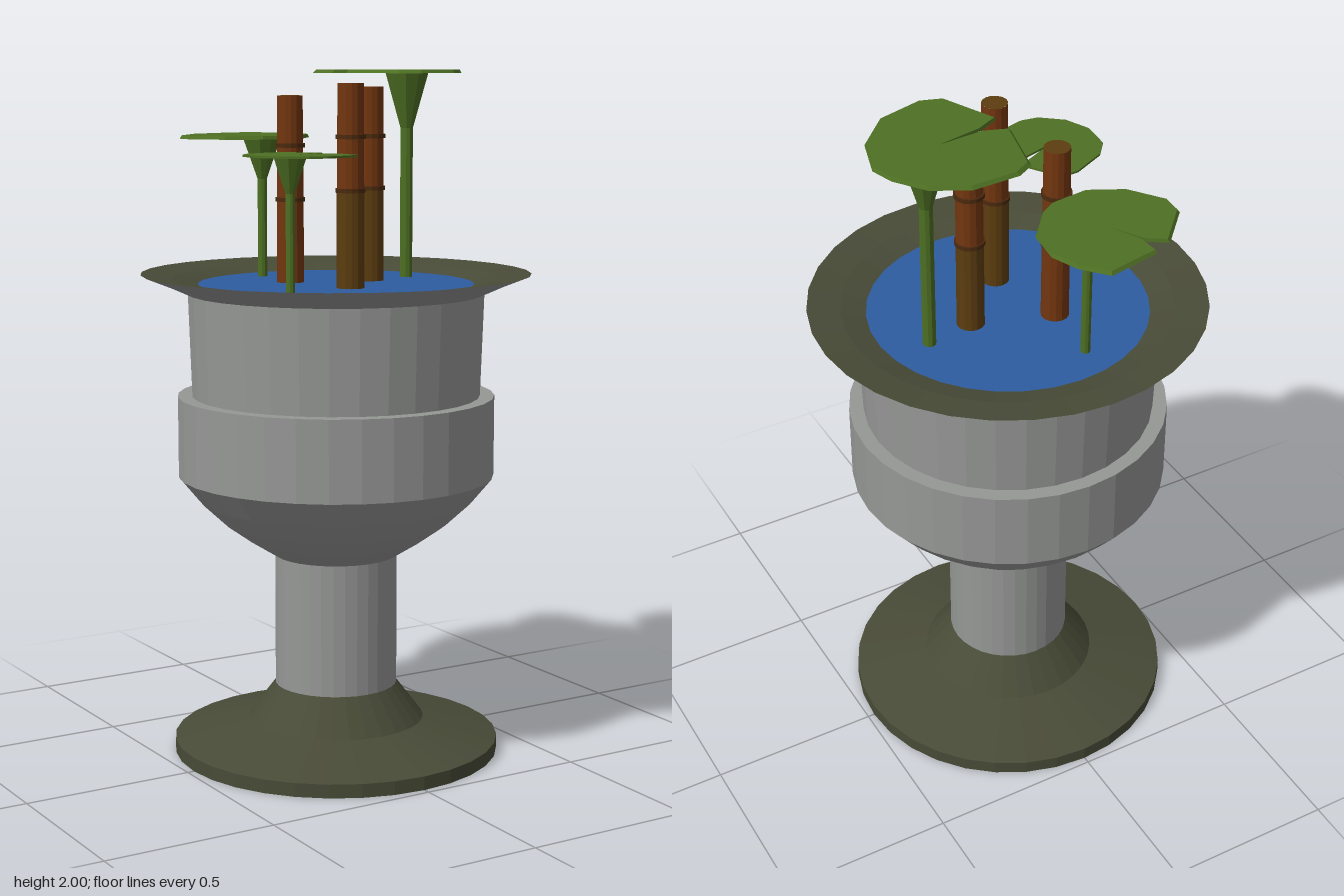
import * as THREE from 'three';

const mat = (name, color) => {
  const m = new THREE.MeshStandardMaterial({ color, flatShading: true });
  m.name = name;
  return m;
};

export function createModel() {
  const stone = mat('grey stone', 0x969896);
  const moss = mat('mossy stone', 0x484b37);
  const underside = mat('dark underside', 0x46343a);
  const water = mat('water blue', 0x2e5ca0);
  const leaf = mat('leaf green', 0x4e7023);
  const cane = mat('red brown cane', 0x723610);
  const oldCane = mat('olive brown cane', 0x5c3d10);
  const joint = mat('dark cane joint', 0x4c2a0e);

  const model = new THREE.Group();
  model.name = 'pondPlanter';
  const add = (parent, name, geometry, material, x = 0, y = 0, z = 0) => {
    const mesh = new THREE.Mesh(geometry, material);
    mesh.name = name;
    mesh.position.set(x, y, z);
    parent.add(mesh);
    return mesh;
  };
  const lathe = (name, profile, material) =>
    add(model, name, new THREE.LatheGeometry(profile.map(p => new THREE.Vector2(...p)), 32), material);

  // Pedestal and bowl
  lathe('foot', [[0.48, 0], [0.48, 0.04], [0.26, 0.095], [0.18, 0.2]], moss);
  add(model, 'footUnderside', new THREE.CircleGeometry(0.48, 32).rotateX(Math.PI / 2), underside);
  lathe('column', [[0.18, 0.2], [0.18, 0.59]], stone);
  lathe('bowl', [
    [0.18, 0.59], [0.26, 0.64], [0.33, 0.69], [0.40, 0.755], [0.462, 0.83],
    [0.462, 1.065], [0.42, 1.065], [0.43, 1.363], [0.49, 1.39], [0.565, 1.42],
  ], stone);
  lathe('rim', [[0.565, 1.42], [0.47, 1.408], [0.40, 1.39]], moss);
  add(model, 'waterSurface', new THREE.CircleGeometry(0.402, 32).rotateX(-Math.PI / 2), water, 0, 1.39, 0);

  // Jointed canes: position, top height, heights of the two joints
  const canes = [
    { x: -0.097, z: -0.095, top: 1.927, joints: [1.63, 1.785], lower: cane },
    { x: -0.036, z: 0.138, top: 1.963, joints: [1.665, 1.815], lower: oldCane },
    { x: 0.13, z: -0.02, top: 1.952, joints: [1.66, 1.81], lower: oldCane },
  ];
  for (const { x, z, top, joints, lower } of canes) {
    const group = new THREE.Group();
    group.name = 'cane';
    group.position.set(x, 0, z);
    model.add(group);
    const levels = [1.385, ...joints, top];
    for (let i = 0; i < 3; i++) {
      const h = levels[i + 1] - levels[i];
      const r = 0.040 - i * 0.001;
      add(group, 'caneSegment', new THREE.CylinderGeometry(r - 0.001, r, h, 14, 1, true),
        i === 0 ? lower : cane, 0, levels[i] + h / 2, 0);
    }
    for (const y of joints) {
      add(group, 'caneJoint', new THREE.CylinderGeometry(0.043, 0.043, 0.012, 14), joint, 0, y, 0);
    }
    add(group, 'caneTop', new THREE.CircleGeometry(0.037, 14).rotateX(-Math.PI / 2), oldCane, 0, top, 0);
  }

  // Notched lily pads on flared stems; outlines are [x, z]
  const pads = [
    {
      x: 0.275, z: -0.05, top: 2, thick: 0.01, inset: 0.965, stem: 0.019, flare: 0.065, flareY: 1.83,
      outline: [[0.23, -0.043], [0.09, -0.034], [0.022, -0.058], [0.063, -0.235], [0.112, -0.265],
        [0.25, -0.268], [0.35, -0.215], [0.41, -0.13], [0.43, -0.062], [0.39, 0.065], [0.3, 0.16],
        [0.163, 0.196], [0.1, 0.175], [0.026, 0.014], [0.09, -0.018]],
    },
    {
      x: -0.08, z: -0.29, top: 1.81, thick: 0.01, inset: 0.97, stem: 0.014, flare: 0.057, flareY: 1.68,
      outline: [[-0.11, -0.34], [-0.166, -0.437], [-0.217, -0.47], [-0.319, -0.358], [-0.322, -0.298],
        [-0.253, -0.202], [-0.154, -0.151], [-0.042, -0.163], [0.003, -0.19], [0.074, -0.277],
        [0.085, -0.38], [0.054, -0.458], [-0.006, -0.528], [-0.16, -0.497], [-0.156, -0.436]],
    },
    {
      x: -0.265, z: 0.195, top: 1.77, thick: 0.006, inset: 1, stem: 0.013, flare: 0.046, flareY: 1.665,
      outline: [[-0.22, 0.157], [-0.13, 0.114], [-0.102, 0.096], [-0.169, -0.006], [-0.22, -0.003],
        [-0.319, 0.045], [-0.357, 0.093], [-0.364, 0.181], [-0.331, 0.253], [-0.268, 0.304],
        [-0.217, 0.312], [-0.133, 0.289], [-0.093, 0.268], [-0.087, 0.145], [-0.133, 0.133]],
    },
  ];
  for (const { x, z, top, thick, inset, stem, flare, flareY, outline } of pads) {
    const group = new THREE.Group();
    group.name = 'lilyPad';
    group.position.set(x, 0, z);
    model.add(group);
    const shape = new THREE.Shape(outline.map(p => new THREE.Vector2(p[0] - x, z - p[1])));
    const geo = new THREE.ExtrudeGeometry(shape, { depth: thick, bevelEnabled: false }).rotateX(-Math.PI / 2);
    // Draw the upper face in so the rim slopes
    const pos = geo.attributes.position;
    for (let i = 0; i < pos.count; i++) {
      if (pos.getY(i) > thick / 2) pos.setXYZ(i, pos.getX(i) * inset, thick, pos.getZ(i) * inset);
    }
    geo.computeVertexNormals();
    add(group, 'padLeaf', geo, leaf, 0, top - thick, 0);
    const h = flareY - 1.385, f = top - thick - flareY;
    add(group, 'padStem', new THREE.CylinderGeometry(stem, stem, h, 10, 1, true), leaf, 0, 1.385 + h / 2, 0);
    add(group, 'padFlare', new THREE.CylinderGeometry(flare, stem, f, 10, 1, true), leaf, 0, flareY + f / 2, 0);
  }

  return model;
}
